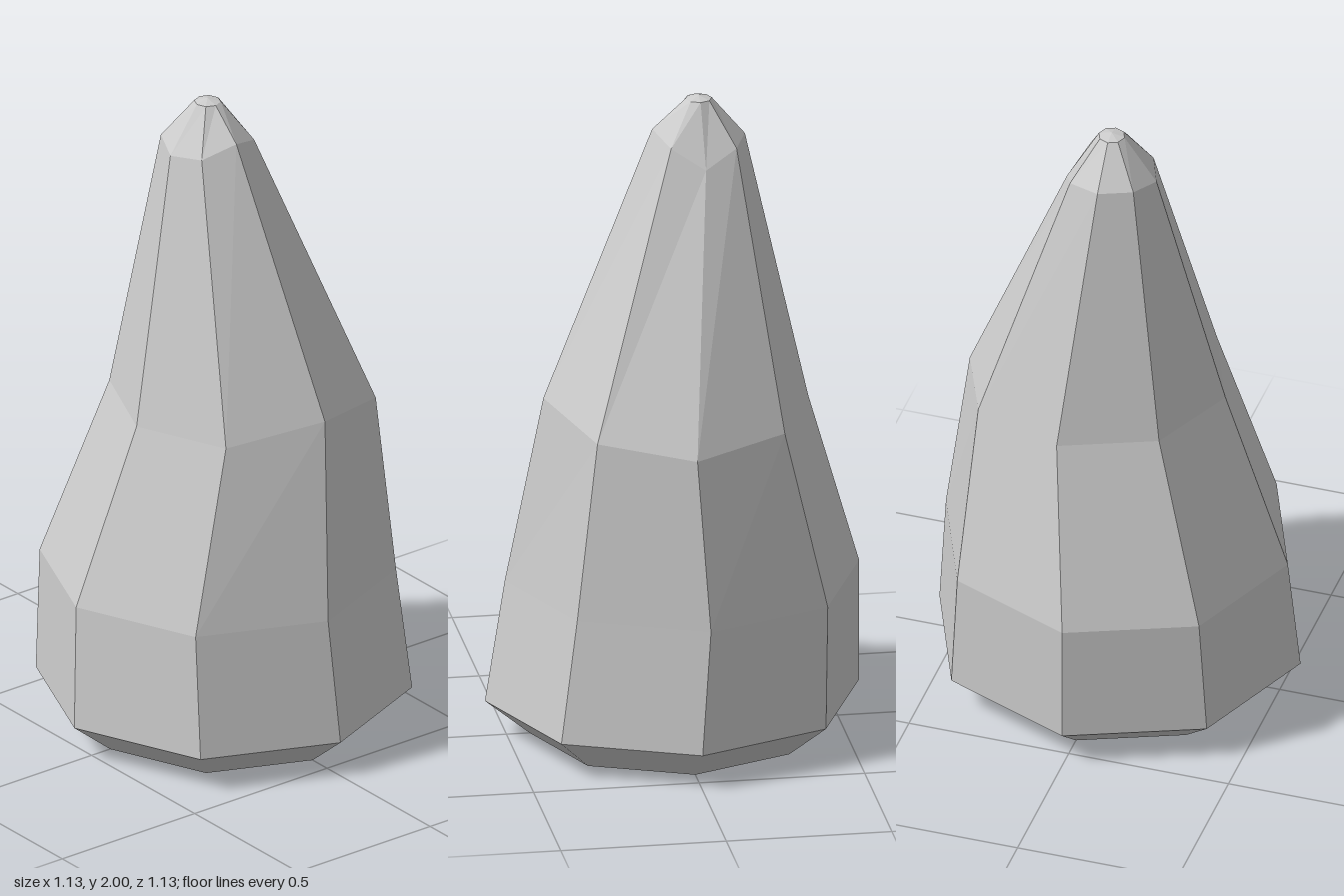
import * as THREE from 'three';

const SIDES = 8;

// Cross-sections from foot to tip: centre, radius, height and per-corner height offsets
const rings = [
  { x: 0, z: 0, r: 0.43, y: 0 },
  { x: 0, z: 0, r: 0.565, y: 0.11 },
  { x: -0.03, z: 0, r: 0.535, y: 0.49 },
  { x: 0, z: -0.07, r: 0.4, y: 1.04, dy: [0.05, 0, 0, 0.01, 0.01, 0, -0.03, 0] },
  { x: -0.08, z: 0, r: 0.14, y: 1.86, dy: [0.04, 0, -0.01, 0.01, 0.01, 0, -0.05, 0.01] },
  { x: -0.08, z: 0, r: 0.04, y: 1.99 },
];

function buildSpire() {
  const positions = [];
  const index = [];
  for (const ring of rings) {
    for (let k = 0; k < SIDES; k++) {
      const a = (k / SIDES) * Math.PI * 2;
      const dy = ring.dy ? ring.dy[k] : 0;
      positions.push(ring.x + ring.r * Math.cos(a), ring.y + dy, ring.z + ring.r * Math.sin(a));
    }
  }

  // Side walls between neighbouring rings; the foot stays open
  for (let j = 0; j < rings.length - 1; j++) {
    for (let k = 0; k < SIDES; k++) {
      const a = j * SIDES + k;
      const b = j * SIDES + ((k + 1) % SIDES);
      index.push(a, a + SIDES, b, b, a + SIDES, b + SIDES);
    }
  }

  // Blunt tip
  const apex = positions.length / 3;
  const last = (rings.length - 1) * SIDES;
  positions.push(-0.08, 2, 0);
  for (let k = 0; k < SIDES; k++) {
    index.push(last + k, apex, last + ((k + 1) % SIDES));
  }

  const indexed = new THREE.BufferGeometry();
  indexed.setAttribute('position', new THREE.Float32BufferAttribute(positions, 3));
  indexed.setIndex(index);
  const geometry = indexed.toNonIndexed();
  geometry.computeVertexNormals();
  return geometry;
}

export function createModel() {
  const group = new THREE.Group();
  group.name = 'stalagmite';
  const material = new THREE.MeshStandardMaterial({
    color: 0xcccccc,
    flatShading: true,
    side: THREE.DoubleSide,
  });
  const spire = new THREE.Mesh(buildSpire(), material);
  spire.name = 'rockSpire';
  group.add(spire);
  return group;
}
